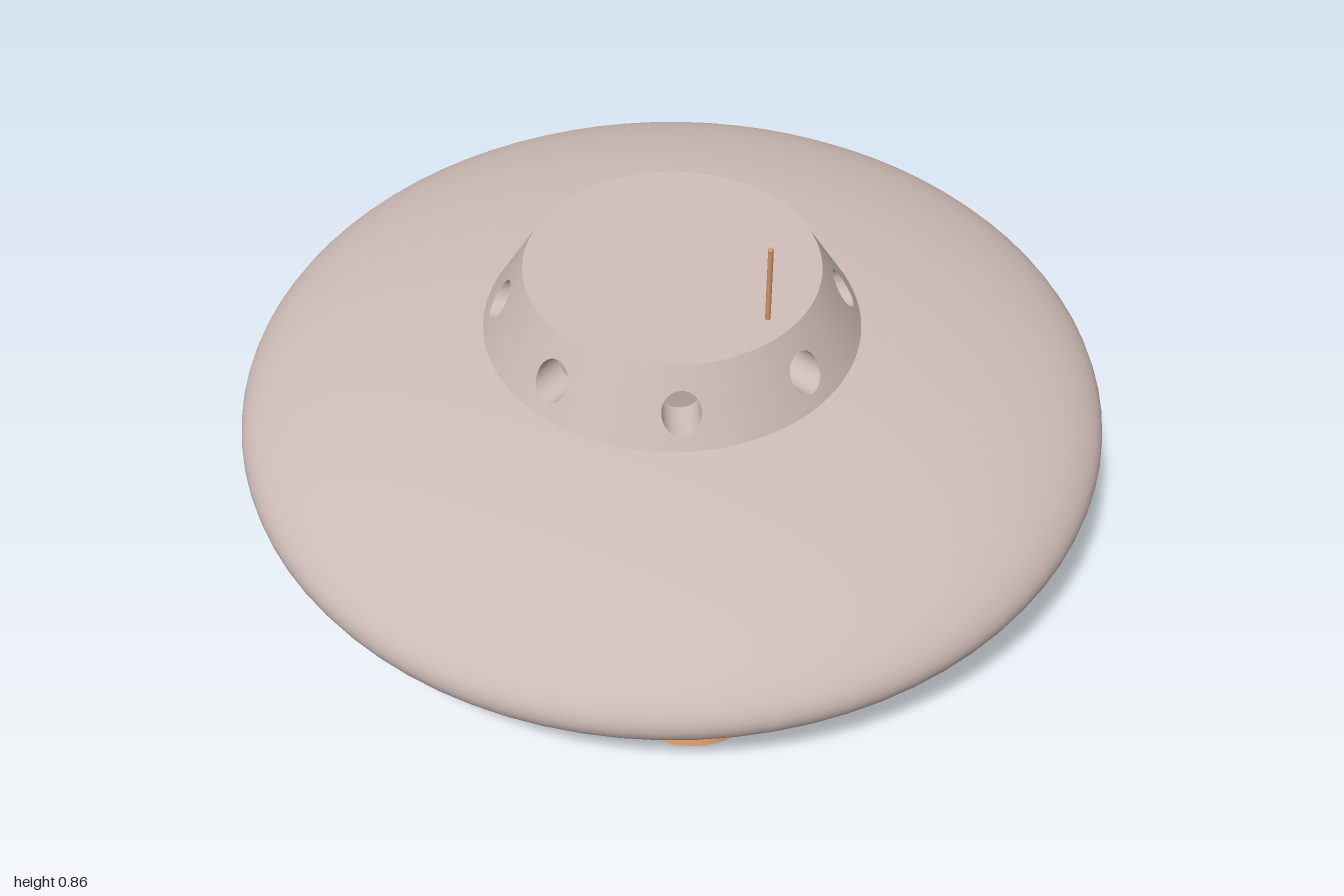
import * as THREE from 'three';

const HULL_RADIUS = 1.004;
const HULL_HEIGHT = 0.236;
const CABIN = { low: 0.186, high: 0.376, rLow: 0.448, rHigh: 0.335 };
const SLOPE = (CABIN.rLow - CABIN.rHigh) / (CABIN.high - CABIN.low);
const PORT = { y: 0.285, r: 0.043, floor: 0.325 };

const cabinRadius = (y) => CABIN.rLow - SLOPE * (y - CABIN.low);
const onCabin = ([angle, y]) =>
  new THREE.Vector3(Math.sin(angle) * cabinRadius(y), y, Math.cos(angle) * cabinRadius(y));

// Joins closed rings of points into one surface
function loft(rings) {
  const n = rings[0].length;
  const index = [];
  for (let i = 0; i < rings.length - 1; i++) {
    for (let j = 0; j < n; j++) {
      const k = (j + 1) % n;
      const a = i * n + j, b = a + n, c = (i + 1) * n + k, d = i * n + k;
      index.push(a, b, c, a, c, d);
    }
  }
  const geometry = new THREE.BufferGeometry().setFromPoints(rings.flat());
  geometry.setIndex(index);
  geometry.computeVertexNormals();
  return geometry;
}

// One eighth of the cabin wall with a round opening, plus the wall of its recess
function cabinSector() {
  const half = Math.PI / 8, steps = 16;
  const { low, high } = CABIN;
  const corners = [[half, low], [half, high], [-half, high], [-half, low]];
  const border = [], opening = [];
  for (let s = 0; s < 4; s++) {
    const [a, b] = [corners[s], corners[(s + 1) % 4]];
    for (let i = 0; i < steps; i++) {
      const t = i / steps;
      const p = [a[0] + (b[0] - a[0]) * t, a[1] + (b[1] - a[1]) * t];
      const phi = Math.atan2(p[1] - PORT.y, p[0] * cabinRadius(PORT.y));
      const y = PORT.y + PORT.r * Math.sin(phi);
      border.push(p);
      opening.push([Math.asin(PORT.r * Math.cos(phi) / cabinRadius(y)), y]);
    }
  }
  const rings = [0, 0.25, 0.5, 0.75, 1].map((t) => opening.map((p, i) =>
    onCabin([p[0] + (border[i][0] - p[0]) * t, p[1] + (border[i][1] - p[1]) * t])));
  const skin = loft(rings);
  const position = skin.attributes.position, normal = skin.attributes.normal;
  for (let i = 0; i < position.count; i++) {
    const angle = Math.atan2(position.getX(i), position.getZ(i));
    const v = new THREE.Vector3(Math.sin(angle), SLOPE, Math.cos(angle)).normalize();
    normal.setXYZ(i, v.x, v.y, v.z);
  }
  const back = rings[0].map((p) => new THREE.Vector3(p.x, p.y, PORT.floor));
  return { skin, recess: loft([back, rings[0]]) };
}

export function createModel() {
  const metal = new THREE.MeshStandardMaterial({ color: 0xccbab5 });
  metal.name = 'warm grey metal';
  const copper = new THREE.MeshStandardMaterial({ color: 0xdc9a68 });
  copper.name = 'copper';
  const blue = new THREE.MeshStandardMaterial({ color: 0x3a3aec });
  blue.name = 'blue';

  const model = new THREE.Group();
  model.name = 'flyingSaucer';
  const craft = new THREE.Group();
  craft.name = 'tiltedCraft';
  model.add(craft);

  const add = (parent, name, geometry, material, x = 0, y = 0, z = 0) => {
    const mesh = new THREE.Mesh(geometry, material);
    mesh.name = name;
    mesh.position.set(x, y, z);
    parent.add(mesh);
    return mesh;
  };

  // Lens-shaped hull
  add(craft, 'hull', new THREE.SphereGeometry(1, 80, 48).scale(HULL_RADIUS, HULL_HEIGHT, HULL_RADIUS), metal);

  // Cabin wall with recessed round ports
  const { skin, recess } = cabinSector();
  const portFloor = new THREE.CircleGeometry(PORT.r, 32);
  for (let i = 0; i < 8; i++) {
    const sector = new THREE.Group();
    sector.name = 'cabinSector';
    sector.rotation.y = i * Math.PI / 4;
    add(sector, 'cabinWall', skin, metal);
    add(sector, 'portRecess', recess, metal);
    add(sector, 'portFloor', portFloor, metal, 0, PORT.y, PORT.floor);
    craft.add(sector);
  }
  add(craft, 'cabinRoof', new THREE.CircleGeometry(CABIN.rHigh, 128).rotateX(-Math.PI / 2),
    metal, 0, CABIN.high, 0);

  // Antenna with a small ball tip
  add(craft, 'antennaRod', new THREE.CylinderGeometry(0.006, 0.006, 0.195, 12), copper, 0.278, 0.47, 0);
  add(craft, 'antennaTip', new THREE.SphereGeometry(0.007, 12, 8), copper, 0.278, 0.566, 0);

  // Landing lamps around the underside, square to the hull surface
  const lampAngle = Math.asin(0.84 / HULL_RADIUS);
  const lampGeometry = new THREE.CylinderGeometry(0.118, 0.118, 0.04, 48);
  for (let i = 0; i < 8; i++) {
    const mount = new THREE.Group();
    mount.name = 'lampMount';
    mount.rotation.y = i * Math.PI / 4;
    const lamp = add(mount, 'lamp', lampGeometry, copper,
      0, 0.004 - HULL_HEIGHT * Math.cos(lampAngle), 0.84);
    lamp.rotation.x = -Math.atan(HULL_HEIGHT / HULL_RADIUS * Math.tan(lampAngle));
    craft.add(mount);
  }

  // Central thruster disc
  add(craft, 'thruster', new THREE.CylinderGeometry(0.312, 0.312, 0.1, 96), blue, 0, -0.226, 0);

  // Lean the whole craft towards its front left
  const up = new THREE.Vector3(0.1, 0.989, 0.108).normalize();
  craft.quaternion.setFromUnitVectors(new THREE.Vector3(0, 1, 0), up);
  craft.position.y = 0.319;
  return model;
}
